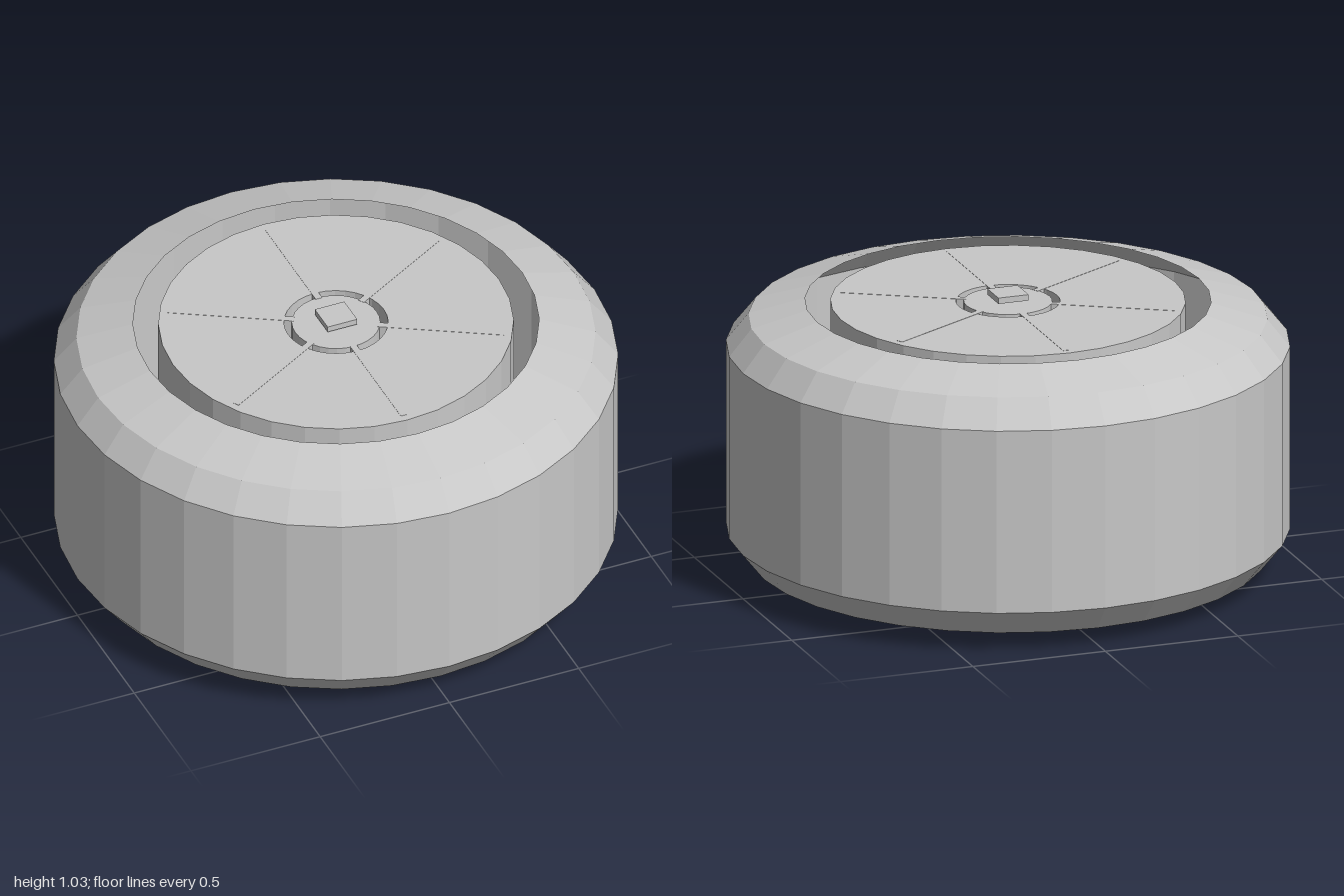
import * as THREE from 'three';

export function createModel() {
  const wheel = new THREE.Group();
  wheel.name = 'wheel';
  // the tyre is a thin open shell, so both sides show
  const grey = new THREE.MeshStandardMaterial({ color: 0xc8c8c8, flatShading: true, side: THREE.DoubleSide });
  grey.name = 'grey';

  const SIDES = 32;
  const BOTTOM = 0.018, TOP = 1.014;
  const HEIGHT = TOP - BOTTOM, MIDDLE = (TOP + BOTTOM) / 2;

  function add(name, geometry, y = 0) {
    const mesh = new THREE.Mesh(geometry, grey);
    mesh.name = name;
    mesh.position.y = y;
    wheel.add(mesh);
    return mesh;
  }
  const lathe = (profile) =>
    new THREE.LatheGeometry(profile.map(([r, y]) => new THREE.Vector2(r, y)), SIDES);

  // tyre: open shell with bevelled shoulders
  add('tyre', lathe([
    [0.72, 0.016], [0.92, 0.078], [1, 0.177],
    [1, 0.856], [0.92, 0.956], [0.72, 1.016],
  ]));

  // rim: thick disc with a round hole through the middle
  add('rim', lathe([
    [0.185, BOTTOM], [0.63, BOTTOM], [0.63, TOP], [0.185, TOP], [0.185, BOTTOM],
  ]));

  // hub inside the hole
  add('hub', new THREE.CylinderGeometry(0.157, 0.157, HEIGHT, SIDES), MIDDLE);

  // six thin spokes bridging hub and rim, just proud of the top face
  const inner = 0.15, outer = 0.6;
  for (let i = 0; i < 6; i++) {
    const blade = new THREE.BoxGeometry(0.025, HEIGHT - 0.004, outer - inner);
    blade.translate(0, 0.003, (inner + outer) / 2);
    add('spoke', blade, MIDDLE).rotation.y = (i * Math.PI) / 3;
  }

  // square cap above the hub
  add('cap', new THREE.BoxGeometry(0.114, 0.022, 0.114), 1.037);

  return wheel;
}
